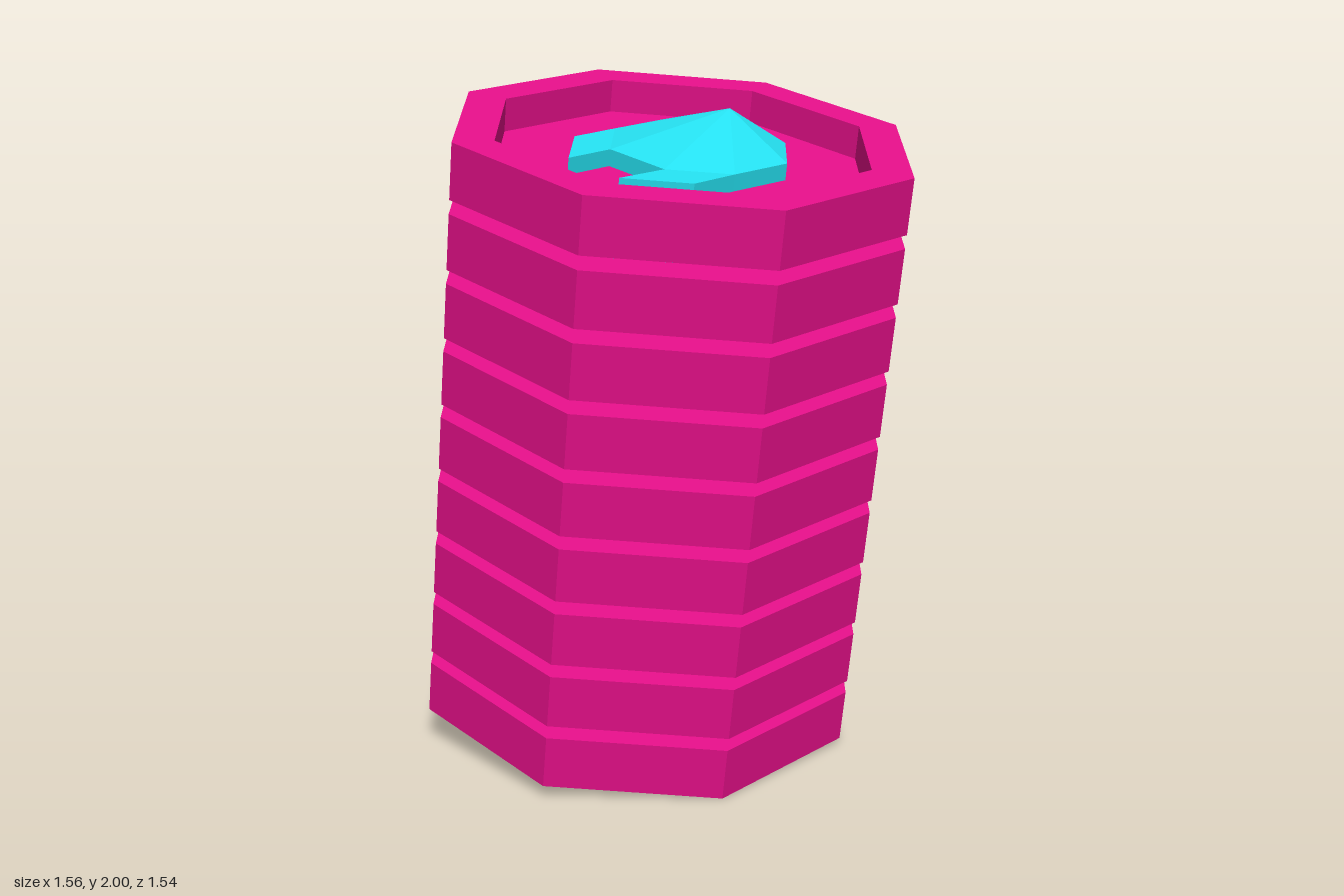
import * as THREE from 'three';
import { mergeGeometries } from 'three/addons/utils/BufferGeometryUtils.js';

const COUNT = 9, PITCH = 0.207, HEIGHT = 0.166;
const OUTER = 0.692, INNER = 0.568, DEPTH = 0.1;
const PLATE = 0.05, APEX = [0.095, 0.15, -0.155];

// Octagonal disc with a recessed top
function discGeometry() {
  const floor = HEIGHT - DEPTH;
  const profile = [[0, 0], [OUTER, 0], [OUTER, HEIGHT], [INNER, HEIGHT], [INNER, floor], [0, floor]]
    .map(([r, y]) => new THREE.Vector2(r, y));
  return new THREE.LatheGeometry(profile, 8, THREE.MathUtils.degToRad(37.9));
}

// Emblem: flat plate with two legs, and a faceted peak over its body (x, z points)
function emblemGeometry() {
  const body = [[-0.235, -0.11], [-0.135, -0.28], [0.075, -0.34], [0.255, -0.23],
    [0.305, -0.03], [0.195, 0.15], [0.005, 0.205], [-0.185, 0.10]];
  const outline = [...body.slice(0, 6), [0.115, 0.29], [-0.085, 0.345],
    body[6], body[7], [-0.265, 0.24], [-0.315, 0.03]];

  const shape = new THREE.Shape(outline.map(([x, z]) => new THREE.Vector2(x, -z)));
  const plate = new THREE.ExtrudeGeometry(shape, { depth: PLATE, bevelEnabled: false });
  plate.rotateX(-Math.PI / 2);

  const corners = [];
  body.forEach(([x, z], i) => {
    const [nx, nz] = body[(i + 1) % body.length];
    corners.push(...APEX, nx, PLATE, nz, x, PLATE, z);
  });
  const peak = new THREE.BufferGeometry();
  peak.setAttribute('position', new THREE.Float32BufferAttribute(corners, 3));
  peak.computeVertexNormals();
  plate.deleteAttribute('uv');
  return mergeGeometries([plate, peak]);
}

export function createModel() {
  const model = new THREE.Group();
  model.name = 'discStack';
  const pink = new THREE.MeshStandardMaterial({ color: 0xe60f8a, flatShading: true });
  const cyan = new THREE.MeshStandardMaterial({ color: 0x25e0f0, flatShading: true });
  const discShape = discGeometry();
  const emblemShape = emblemGeometry();

  // The whole stack leans along one straight axis
  const stack = new THREE.Group();
  stack.name = 'leaningStack';
  const axis = new THREE.Vector3(0.108, 1, 0.0937).normalize();
  stack.quaternion.setFromUnitVectors(new THREE.Vector3(0, 1, 0), axis);
  stack.position.y = 1;
  model.add(stack);

  const total = (COUNT - 1) * PITCH + HEIGHT;
  for (let i = 0; i < COUNT; i++) {
    const token = new THREE.Group();
    token.name = `token${i + 1}`;
    token.position.y = i * PITCH - total / 2;
    const disc = new THREE.Mesh(discShape, pink);
    disc.name = 'disc';
    const emblem = new THREE.Mesh(emblemShape, cyan);
    emblem.name = 'emblem';
    emblem.position.y = HEIGHT - DEPTH;
    token.add(disc, emblem);
    stack.add(token);
  }
  return model;
}
